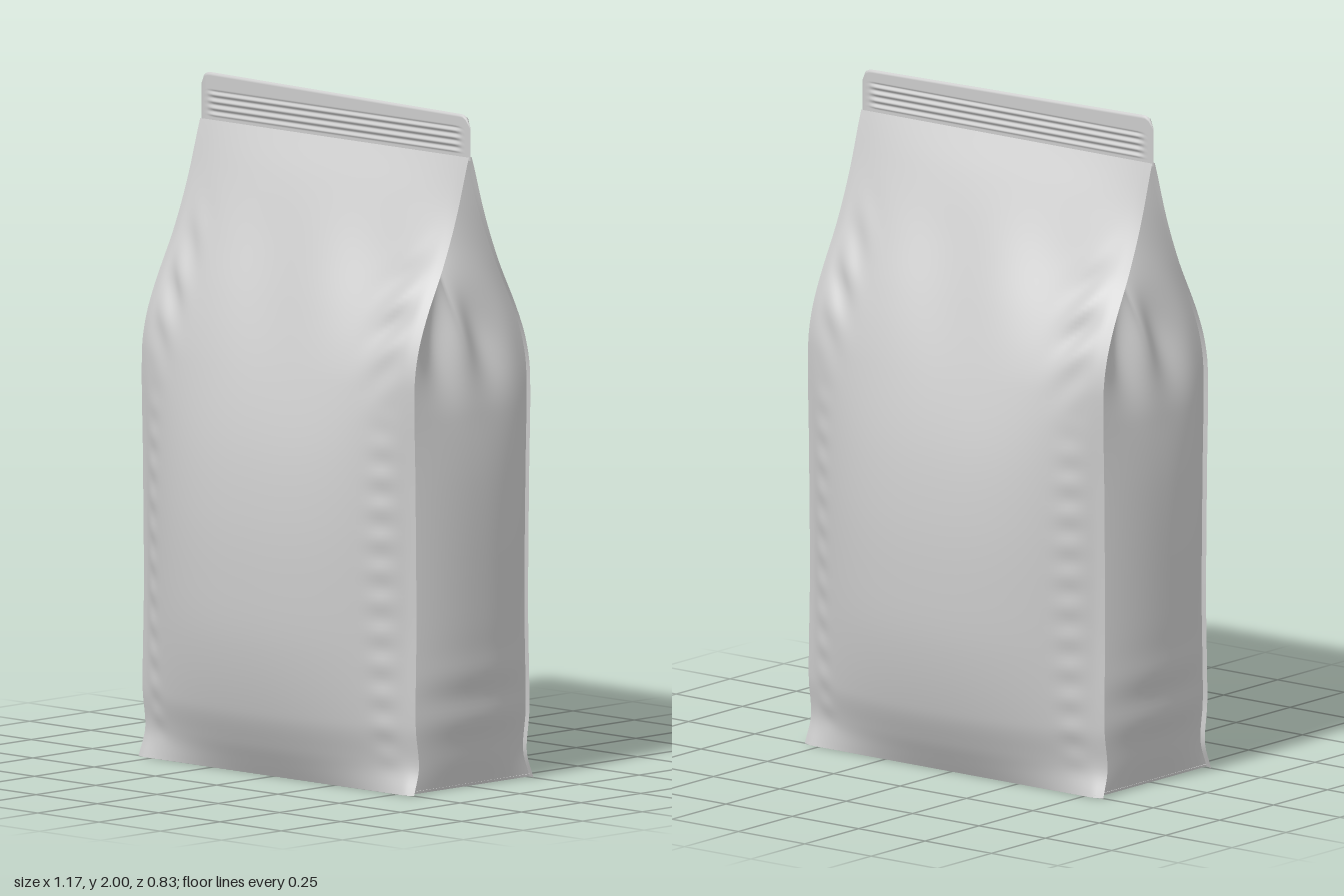
import * as THREE from 'three';
import { ParametricGeometry } from 'three/addons/geometries/ParametricGeometry.js';

const SEAL_Y = 1.86; // height where the pouch closes into the flat seal

// Smooth height profile through [y, value] points
function profile(points) {
  const slope = (i) => {
    const a = points[Math.max(i - 1, 0)], b = points[Math.min(i + 1, points.length - 1)];
    return (b[1] - a[1]) / (b[0] - a[0]);
  };
  return (y) => {
    let i = 0;
    while (i < points.length - 2 && y > points[i + 1][0]) i++;
    const [y0, v0] = points[i], [y1, v1] = points[i + 1];
    const h = y1 - y0, t = THREE.MathUtils.clamp((y - y0) / h, 0, 1);
    const t2 = t * t, t3 = t2 * t;
    return v0 * (2 * t3 - 3 * t2 + 1) + slope(i) * h * (t3 - 2 * t2 + t)
      + v1 * (3 * t2 - 2 * t3) + slope(i + 1) * h * (t3 - t2);
  };
}

// Half depth at the panel centre, half depth at the seams, half width, gusset centre line
const centreZ = profile([[0, 0.262], [0.04, 0.287], [0.1, 0.322], [0.2, 0.365], [0.4, 0.405], [0.6, 0.415],
  [0.8, 0.408], [1, 0.38], [1.2, 0.325], [1.4, 0.247], [1.6, 0.15], [1.75, 0.073], [SEAL_Y, 0.006]]);
const seamZ = profile([[0, 0.262], [0.08, 0.238], [0.2, 0.25], [0.5, 0.246], [0.9, 0.25], [1.2, 0.254],
  [1.3, 0.238], [1.4, 0.2], [1.55, 0.125], [1.7, 0.06], [SEAL_Y, 0.006]]);
const halfWidth = profile([[0, 0.562], [0.1, 0.558], [0.6, 0.556], [1.2, 0.556], [1.5, 0.55], [SEAL_Y, 0.548]]);
const gussetX = profile([[0, 0.537], [0.1, 0.555], [0.3, 0.578], [0.6, 0.585], [0.9, 0.581], [1.1, 0.56],
  [1.2, 0.535], [1.4, 0.46], [1.6, 0.38], [SEAL_Y, 0.31]]);

const bell = (d, width) => Math.exp(-((d / width) ** 2));
const smooth = THREE.MathUtils.smoothstep;

// Broad face with a flat fin down each side and soft film wrinkles
function panelPoint(u, v, target) {
  const t = 2 * u - 1, a = Math.abs(t), y = v * SEAL_Y;
  const s = Math.min(a / 0.95, 1), edge = seamZ(y);
  let z = edge + (centreZ(y) - edge) * (1 - s ** 2.3);
  z -= Math.max(a - 0.95, 0) * 0.24 * (1 - smooth(y, 1.5, SEAL_Y));
  const fade = smooth(y, 0, 0.15) * (1 - smooth(y, 1.55, 1.82)) * (1 - s ** 8);
  const ripples = 0.004 * Math.sin(y * 68 + t) * bell(a - 0.85, 0.07) * (1 - smooth(y, 0.9, 1.2));
  const folds = 0.012 * Math.sin((y - 0.45 * a) * 42) * bell(a - 0.83, 0.12) * bell(y - 1.4, 0.17);
  const drape = 0.005 * Math.sin(t * 8 + y * 4) * bell(y - 1.5, 0.22);
  target.set(t * halfWidth(y), y, z + fade * (ripples + folds + drape));
}

// Side panel: bulges outward low down, folds inward towards the seal
function gussetPoint(u, v, target) {
  const w = 1 - 2 * u, a = Math.abs(w), y = v * SEAL_Y;
  const edge = halfWidth(y) * 0.955;
  const fold = smooth(y, 1.1, 1.5);
  const shape = (1 - fold) * (1 - a ** 2.2) + fold * (1 - a ** 1.15);
  let x = edge + (gussetX(y) - edge) * shape;
  x += 0.022 * Math.cos(7 * w) * (1 - w * w) * bell(y - 1.33, 0.13);
  x += 0.004 * Math.sin(y * 40) * (1 - w * w) * bell(y - 0.25, 0.12);
  target.set(x, y, w * (seamZ(y) - 0.002));
}

// One face of the top seal, with rounded upper corners and pressed ridges
function sealPoint(u, v, target) {
  const t = 2 * u - 1, a = Math.abs(t), x = t * 0.548;
  const r = 0.035, into = Math.max(Math.abs(x) - (0.548 - r), 0);
  const top = 2 - 0.008 * (t + 1) - (r - Math.sqrt(Math.max(r * r - into * into, 0)));
  const y = THREE.MathUtils.lerp(SEAL_Y - 0.01, top, v);
  const ridged = smooth(y, 1.868, 1.874) * (1 - smooth(y, 1.944, 1.95)) * (1 - smooth(a, 0.9, 0.95));
  const ridge = 0.003 * Math.sin((y - 1.87) * 2 * Math.PI / 0.02) * ridged;
  const border = Math.sqrt(Math.max(0, Math.min(1, (1 - a) * 60, (1 - v) * 20)));
  target.set(x, y, 0.006 * border + ridge);
}

export function createModel() {
  const group = new THREE.Group();
  const film = new THREE.MeshStandardMaterial({ color: 0xcccccc, roughness: 0.6, side: THREE.DoubleSide });

  // Each surface is used twice, turned half a revolution for the opposite side
  const addPair = (point, columns, rows, names) => {
    const geometry = new ParametricGeometry(point, columns, rows);
    geometry.computeVertexNormals();
    names.forEach((name, i) => {
      const mesh = new THREE.Mesh(geometry, film);
      mesh.name = name;
      mesh.rotation.y = i * Math.PI;
      group.add(mesh);
    });
  };
  addPair(panelPoint, 100, 130, ['frontPanel', 'backPanel']);
  addPair(gussetPoint, 48, 110, ['leftGusset', 'rightGusset']);

  // Top seal: the back face mirrors the front so the sloped top edge lines up
  [1, -1].forEach((side) => {
    const geometry = new ParametricGeometry((u, v, p) => {
      sealPoint(side > 0 ? u : 1 - u, v, p);
      p.z *= side;
    }, 80, 60);
    geometry.computeVertexNormals();
    const seal = new THREE.Mesh(geometry, film);
    seal.name = side > 0 ? 'frontSeal' : 'backSeal';
    group.add(seal);
  });

  // Flat base
  const base = new THREE.Mesh(new THREE.PlaneGeometry(1.08, 0.522), film);
  base.name = 'base';
  base.rotation.x = Math.PI / 2;
  base.position.y = 0.008;
  group.add(base);

  return group;
}
